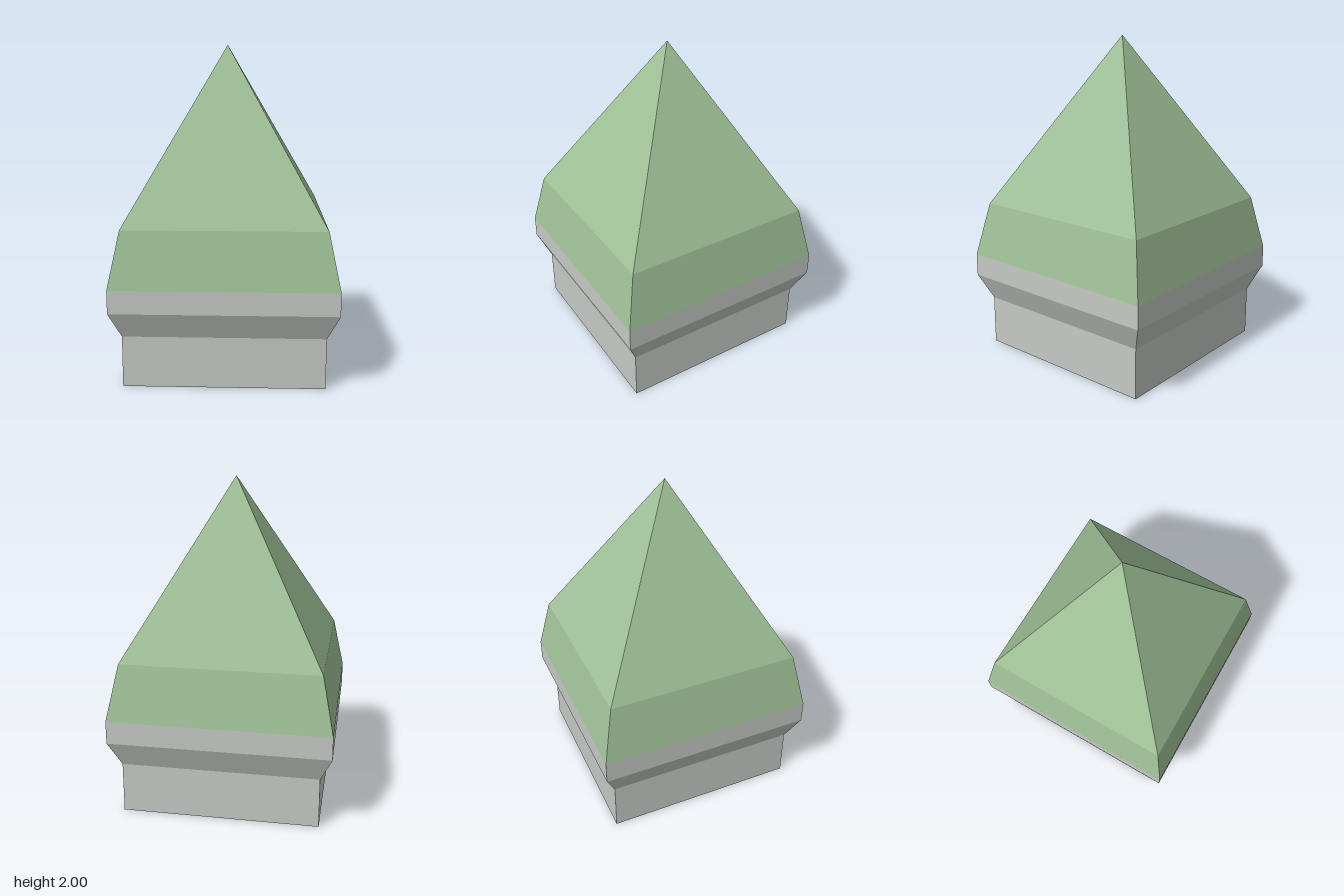
import * as THREE from 'three';

const stone = new THREE.MeshStandardMaterial({ color: 0xc5c9c5 });
stone.name = 'pale stone';
const roofGreen = new THREE.MeshStandardMaterial({ color: 0x9fc197 });
roofGreen.name = 'soft green';

// Square tapered block with flat faces; widths are half-sides
function squareTier(name, y0, y1, halfBottom, halfTop, material, open = true) {
  const geometry = new THREE.CylinderGeometry(
    halfTop * Math.SQRT2, halfBottom * Math.SQRT2, y1 - y0, 4, 1, open, Math.PI / 4
  ).toNonIndexed();
  geometry.computeVertexNormals();
  geometry.translate(0, (y0 + y1) / 2, 0);
  const mesh = new THREE.Mesh(geometry, material);
  mesh.name = name;
  return mesh;
}

export function createModel() {
  const model = new THREE.Group();
  model.name = 'squareCapWithPointedRoof';
  model.add(
    // Stone post and flared cornice
    squareTier('base', 0, 0.31, 0.6, 0.6, stone, false),
    squareTier('corniceFlare', 0.31, 0.47, 0.6, 0.67, stone),
    squareTier('corniceBand', 0.47, 0.61, 0.67, 0.67, stone),
    // Two-pitch pointed roof
    squareTier('roofSkirt', 0.61, 0.95, 0.67, 0.6, roofGreen),
    squareTier('roofSpire', 0.95, 2, 0.6, 0, roofGreen)
  );
  return model;
}
